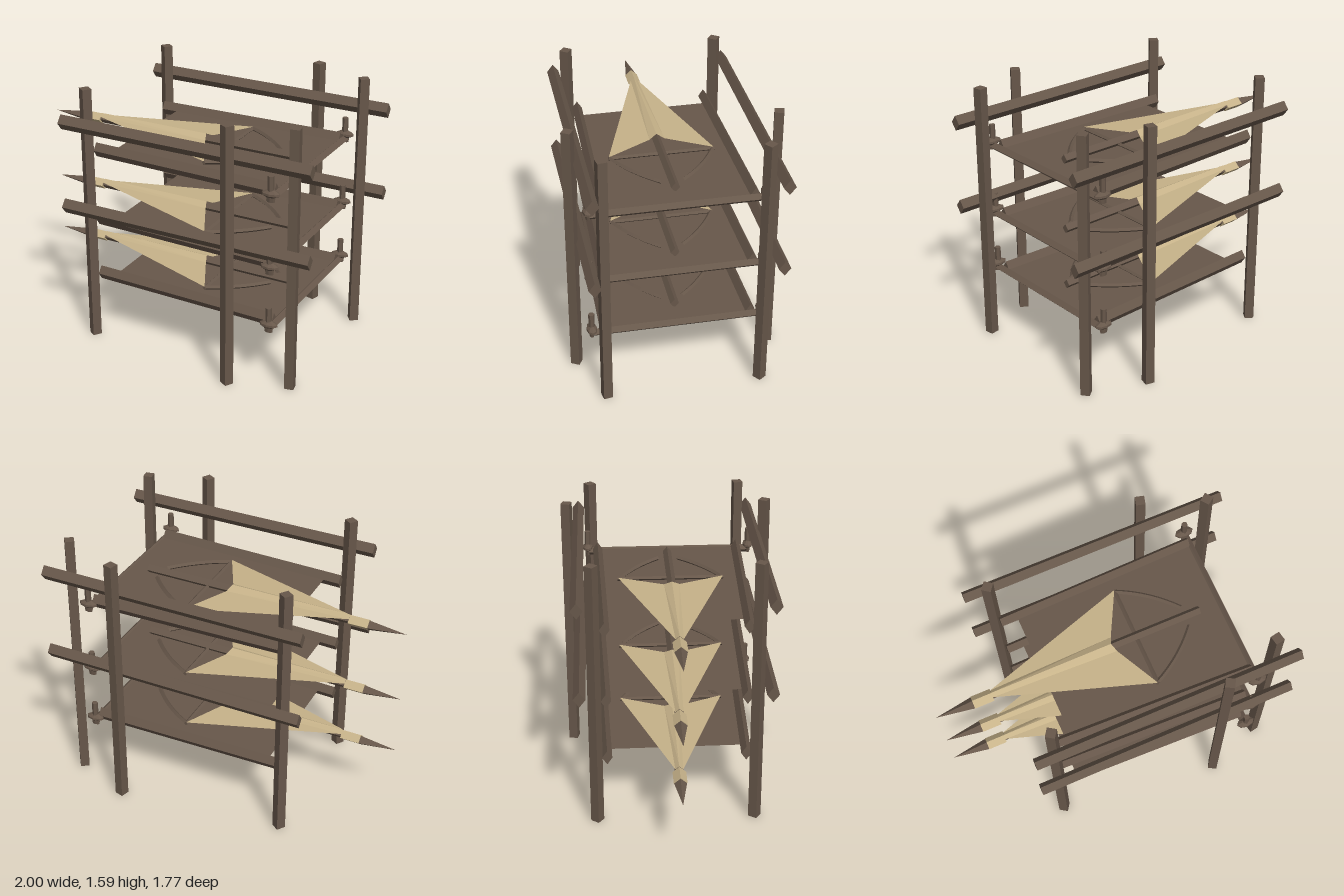
import * as THREE from 'three';

const wood = new THREE.MeshStandardMaterial({ color: 0x67574a });
wood.name = 'brown wood';
const hide = new THREE.MeshStandardMaterial({ color: 0x67574a, side: THREE.DoubleSide });
hide.name = 'brown hide';
const canvas = new THREE.MeshStandardMaterial({ color: 0xc6b289, side: THREE.DoubleSide });
canvas.name = 'tan canvas';

function part(parent, name, geometry, material) {
  const flat = geometry.index ? geometry.toNonIndexed() : geometry;
  flat.computeVertexNormals();
  const mesh = new THREE.Mesh(flat, material);
  mesh.name = name;
  parent.add(mesh);
  return mesh;
}

// Diamond-section bar between two points; w0/w1 scale the start and end for tapers
function bar(parent, name, a, b, width, height, material = wood, startScale = 1, endScale = 1) {
  const from = new THREE.Vector3(...a), to = new THREE.Vector3(...b);
  const geo = new THREE.CylinderGeometry(startScale, endScale, from.distanceTo(to), 4);
  geo.rotateZ(Math.PI / 2).scale(1, height / 2, width / 2);
  const mesh = part(parent, name, geo, material);
  mesh.position.copy(from).lerp(to, 0.5);
  mesh.rotation.y = -Math.atan2(to.z - from.z, to.x - from.x);
  return mesh;
}

// Flat-faced surface from a list of triangles
function facets(parent, name, triangles, material) {
  const geo = new THREE.BufferGeometry();
  geo.setAttribute('position', new THREE.Float32BufferAttribute(triangles.flat(2), 3));
  return part(parent, name, geo, material);
}

// Bolt with folded cloth wings, lying along x
function makeGlider() {
  const g = new THREE.Group();
  g.name = 'glider';
  const v = -0.012;
  bar(g, 'spike', [-1.163, 0.017, v], [-0.943, 0.02, v], 0.072, 0.062, wood, 0.001, 1).rotation.y = Math.PI;
  g.children[0].rotation.y = 0;
  g.children[0].scale.x = 1;
  bar(g, 'collar', [-0.945, 0.02, v], [-0.83, 0.022, v], 0.076, 0.066, canvas);
  bar(g, 'shaft', [-0.84, 0.024, v], [0.443, 0.024, v], 0.05, 0.058);
  bar(g, 'spreader', [0.048, 0.014, v - 0.31], [0.048, 0.014, v + 0.31], 0.024, 0.024);

  for (const s of [-1, 1]) {
    const ridge0 = [-0.83, 0.056, v], ridge1 = [-0.106, 0.056, v];
    const root0 = [-0.83, 0.038, v + s * 0.022];
    const root1 = [-0.088, 0.032, v + s * 0.045];
    const tip = [0.048, 0.022, v + s * 0.308];
    const tris = [[ridge0, root1, ridge1], [ridge0, root0, root1], [root0, tip, root1]];
    facets(g, 'clothWing', s > 0 ? tris : tris.map(([a, b, c]) => [a, c, b]), canvas);

    // Curved strut from the wing tip back toward the shaft
    const curve = new THREE.QuadraticBezierCurve3(
      new THREE.Vector3(0.048, 0.014, v + s * 0.3),
      new THREE.Vector3(0.225, 0.014, v + s * 0.215),
      new THREE.Vector3(0.355, 0.014, v + s * 0.06));
    part(g, 'curvedStrut', new THREE.TubeGeometry(curve, 8, 0.013, 4), wood);
  }
  return g;
}

// Upright peg with a wide faceted collar
function makePeg() {
  const g = new THREE.Group();
  g.name = 'peg';
  part(g, 'pegStem', new THREE.CylinderGeometry(0.018, 0.018, 0.09, 6), wood).position.y = 0.07;
  const profile = [[0, -0.04], [0.024, -0.036], [0.028, -0.008], [0.056, 0.006], [0.054, 0.018], [0.022, 0.034], [0, 0.034]]
    .map(([r, y]) => new THREE.Vector2(r, y));
  part(g, 'pegCollar', new THREE.LatheGeometry(profile, 8), wood).scale.z = 0.55;
  return g;
}

// One sloping-sided bed: two side beams, an end pole, a stretched sheet, pegs and a glider
function makeShelf(y) {
  const g = new THREE.Group();
  g.name = 'shelf';
  g.position.y = y;
  bar(g, 'backBeam', [-0.622, 0, -0.408], [0.565, 0, -0.436], 0.058, 0.086);
  bar(g, 'frontBeam', [-0.615, 0, 0.384], [0.565, 0, 0.421], 0.058, 0.086);
  bar(g, 'endPole', [0.568, -0.016, -0.5], [0.568, -0.016, 0.49], 0.052, 0.05);
  const a = [-0.524, 0, -0.41], b = [-0.517, 0, 0.387], c = [0.568, 0, 0.421], d = [0.568, 0, -0.436];
  facets(g, 'sheet', [[a, b, c], [a, c, d]], hide);
  for (const z of [-0.497, 0.497]) {
    const peg = makePeg();
    peg.position.set(0.568, 0, z);
    g.add(peg);
  }
  g.add(makeGlider());
  return g;
}

export function createModel() {
  const model = new THREE.Group();
  model.name = 'storageRack';

  // Upright posts: x, z, turn in degrees
  const posts = [[-0.316, -0.727, 24], [0.599, -0.364, 45], [0.829, -0.07, 6],
    [-0.772, 0.059, 26], [0.012, 0.658, 30], [0.371, 0.717, -20]];
  for (const [x, z, turn] of posts) {
    const post = part(model, 'post', new THREE.BoxGeometry(0.054, 1.585, 0.054), wood);
    post.position.set(x, 0.7925, z);
    post.rotation.y = THREE.MathUtils.degToRad(turn);
  }

  // Rails and shelves stand at an angle to the front
  const frame = new THREE.Group();
  frame.name = 'frame';
  frame.rotation.y = -Math.PI / 6;
  model.add(frame);
  for (const y of [0.858, 1.383]) {
    for (const z of [-0.552, 0.505]) bar(frame, 'rail', [-0.77, y, z], [0.813, y, z], 0.07, 0.09);
  }
  for (const y of [0.402, 0.764, 1.2]) frame.add(makeShelf(y));
  return model;
}
